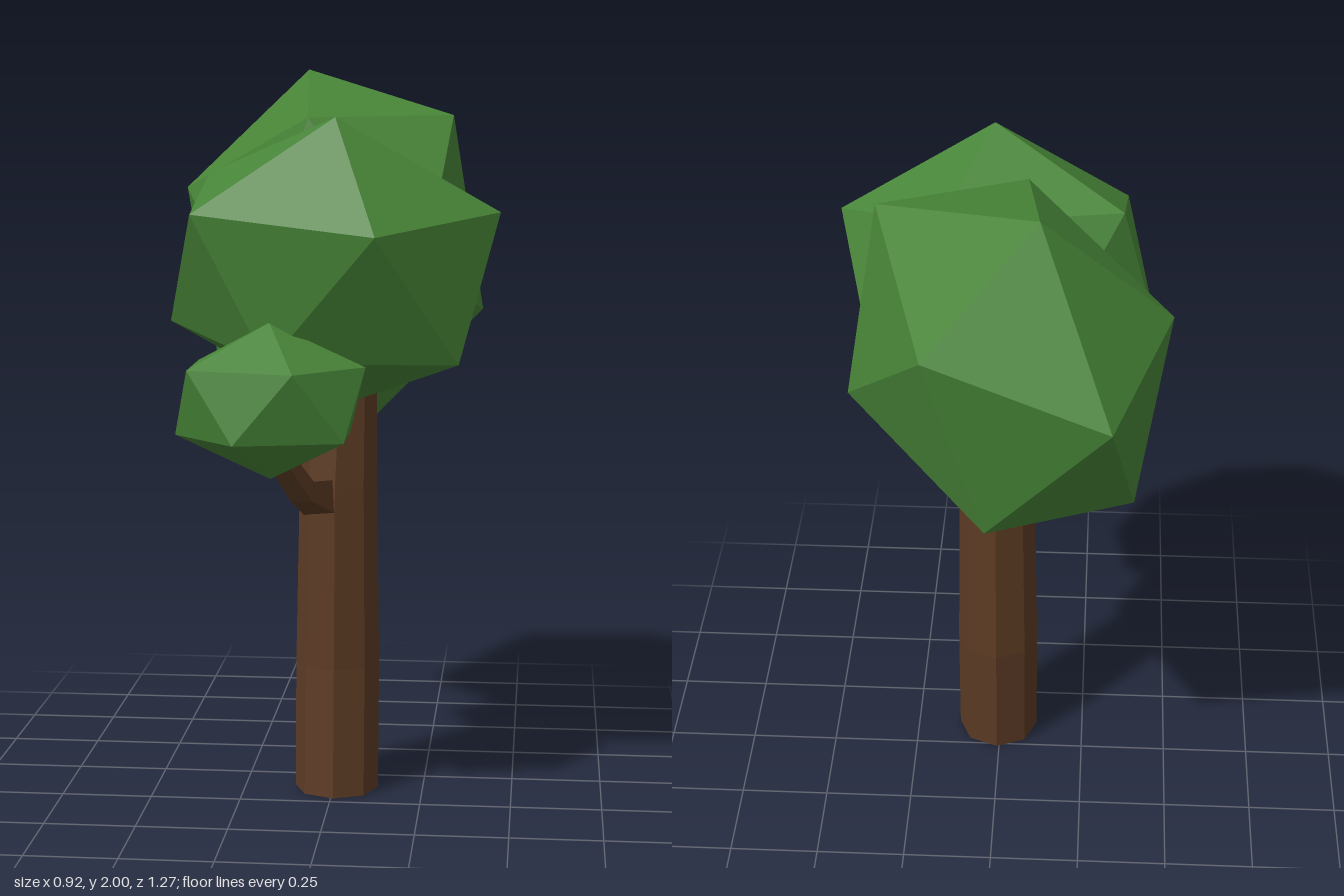
import * as THREE from 'three';
import { ConvexGeometry } from 'three/addons/geometries/ConvexGeometry.js';

const bark = new THREE.MeshStandardMaterial({ color: 0x5c3b24, flatShading: true });
const leaf = new THREE.MeshStandardMaterial({ color: 0x478437, flatShading: true });

// Skewed icosahedron: six corners, each mirrored through the centre
function foliage(name, centre, corners) {
  const c = new THREE.Vector3(...centre);
  const points = corners.flatMap((p) => {
    const v = new THREE.Vector3(...p);
    return [v, c.clone().multiplyScalar(2).sub(v)];
  });
  const mesh = new THREE.Mesh(new ConvexGeometry(points), leaf);
  mesh.name = name;
  return mesh;
}

// Capped limb through rings [x, y, z, radius, tilt from up towards +z]
function limb(name, rings, sides, phase) {
  const pos = [];
  const point = ([x, y, z, r, tilt], k) => {
    const a = phase + (k / sides) * Math.PI * 2;
    const s = r * Math.sin(a);
    return [x + r * Math.cos(a), y - s * Math.sin(tilt), z + s * Math.cos(tilt)];
  };
  const first = rings[0], last = rings[rings.length - 1];
  for (let k = 0; k < sides; k++) {
    for (let i = 0; i < rings.length - 1; i++) {
      const a = point(rings[i], k), b = point(rings[i], k + 1);
      const c = point(rings[i + 1], k), d = point(rings[i + 1], k + 1);
      pos.push(...a, ...c, ...b, ...b, ...c, ...d);
    }
    pos.push(...first.slice(0, 3), ...point(first, k), ...point(first, k + 1));
    pos.push(...last.slice(0, 3), ...point(last, k + 1), ...point(last, k));
  }
  const geo = new THREE.BufferGeometry();
  geo.setAttribute('position', new THREE.Float32BufferAttribute(pos, 3));
  geo.computeVertexNormals();
  const mesh = new THREE.Mesh(geo, bark);
  mesh.name = name;
  return mesh;
}

export function createModel() {
  const tree = new THREE.Group();
  tree.name = 'tree';

  // Gently bent trunk and a short kinked branch
  tree.add(limb('trunk', [
    [0.007, 0, 0.105, 0.117, 0],
    [0.007, 0.36, 0.08, 0.117, 0],
    [0.01, 0.87, 0.088, 0.108, 0],
    [0.025, 1.25, 0.085, 0.09, 0],
  ], 8, 0));
  tree.add(limb('branch', [
    [-0.03, 0.84, 0.15, 0.07, 1.4],
    [-0.065, 0.89, 0.33, 0.042, 0.95],
    [-0.13, 1.02, 0.43, 0.036, 0.65],
    [-0.14, 1.1, 0.46, 0.03, 0.5],
  ], 4, Math.PI / 4));

  // Large crown at the back
  tree.add(foliage('backCrown', [-0.03, 1.5, -0.2], [
    [-0.12, 2.0, -0.4], [-0.075, 1.875, 0.077], [0.315, 1.878, -0.09],
    [0.17, 1.67, -0.537], [-0.31, 1.54, -0.637], [-0.46, 1.665, -0.262],
  ]));

  // Middle crown at the front
  tree.add(foliage('frontCrown', [0.011, 1.486, 0.275], [
    [0.03, 1.885, 0.397], [0.457, 1.64, 0.342], [0.145, 1.588, 0.562],
    [-0.342, 1.637, 0.463], [-0.33, 1.73, 0.176], [0.165, 1.725, 0.1],
  ]));

  // Small leaf clump on the branch
  const clump = [[-0.135, 1.36, 0.464]];
  for (let k = 0; k < 5; k++) {
    const a = (k / 5) * Math.PI * 2;
    clump.push([-0.135 + 0.25 * Math.cos(a), 1.246, 0.464 + 0.18 * Math.sin(a)]);
  }
  tree.add(foliage('branchLeaves', [-0.135, 1.154, 0.464], clump));

  return tree;
}
